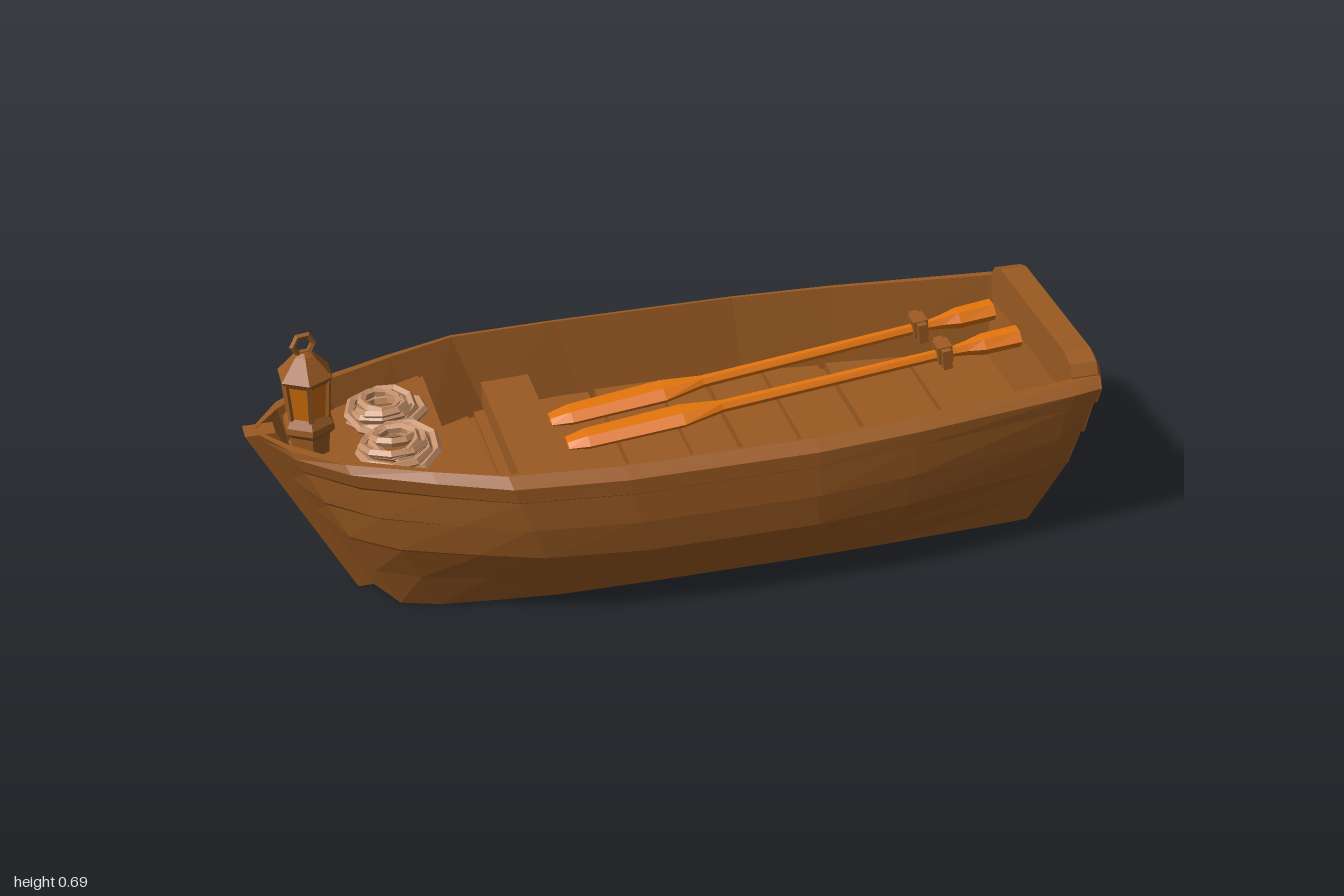
import * as THREE from 'three';

const mat = (name, color) => {
  const m = new THREE.MeshStandardMaterial({ color });
  m.name = name;
  return m;
};

// Faceted normals for the low-poly look
const flat = (g) => {
  const f = g.index ? g.toNonIndexed() : g;
  f.computeVertexNormals();
  return f;
};

// Skin between closed rings of [x, y, z] points, with optional flat ends
function loft(rings, caps = true) {
  const n = rings[0].length, idx = [];
  for (let i = 0; i < rings.length - 1; i++) {
    for (let j = 0; j < n; j++) {
      const k = (j + 1) % n;
      const a = i * n + j, b = a + n, c = (i + 1) * n + k, d = i * n + k;
      idx.push(a, b, c, a, c, d);
    }
  }
  if (caps) {
    const e = (rings.length - 1) * n;
    for (let j = 1; j < n - 1; j++) idx.push(0, j, j + 1, e, e + j + 1, e + j);
  }
  const g = new THREE.BufferGeometry();
  g.setAttribute('position', new THREE.Float32BufferAttribute(rings.flat(2), 3));
  g.setIndex(idx);
  return flat(g);
}

// Gunwale plan: x and half width from bow to stern
const PLAN = [[-0.97, 0.02], [-0.91, 0.12], [-0.8, 0.215], [-0.62, 0.295], [-0.46, 0.358], [-0.2, 0.376],
  [0.25, 0.376], [0.5, 0.355], [0.9, 0.3], [0.97, 0.285]];
// Section: height, half width amidships, half width at the stern
const OUTER = [[0, 0.185, 0.165], [0.09, 0.25, 0.195], [0.178, 0.312, 0.222], [0.188, 0.325, 0.23], [0.28, 0.338, 0.25],
  [0.292, 0.362, 0.266], [0.372, 0.362, 0.275], [0.382, 0.376, 0.29], [0.42, 0.376, 0.295], [0.44, 0.345, 0.27]];
const INNER = [[0.44, 0.337, 0.25], [0.23, 0.3, 0.225]];

const stemX = (y) => -0.73 - 0.53 * y;
const sternX = (y) => (y < 0.18 ? 0.87 + 0.36 * y : 0.935 + 0.17 * (y - 0.18));

function hullPoint([y0, wMid, wStern], [px, pw], inner) {
  const u = (px + 0.97) / 1.94;
  // Planks sweep up towards the bow, and a little towards the stern
  const bowRise = Math.min(1, y0 / 0.18) * (0.058 - 0.095 * y0) * Math.max(0, 1 - u / 0.38);
  const y = y0 + bowRise + (y0 / 0.44) * 0.012 * Math.max(0, (u - 0.6) / 0.4);
  const x = THREE.MathUtils.lerp(stemX(y), sternX(y), u);
  let w;
  if (u > 0.5) w = THREE.MathUtils.lerp(wMid, wStern, (0.376 - pw) / 0.091);
  else if (inner) w = Math.max(0.005, pw - (0.376 - wMid));
  else if (u === 0) w = 0.02;
  else w = wMid * Math.pow(pw / 0.376, 0.4 + 0.6 * Math.min(1, y0 / 0.38));
  return [x, y, w];
}

export function createModel() {
  const root = new THREE.Group();
  root.name = 'rowingBoat';
  const wood = mat('brownWood', 0x9a5a22);
  const orange = mat('orangeWood', 0xe0730a);
  const ropeMat = mat('rope', 0xc4906a);
  const glassMat = mat('amberGlass', 0xc96a0a);

  const add = (name, geo, material, parent = root) => {
    const m = new THREE.Mesh(geo, material);
    m.name = name;
    parent.add(m);
    return m;
  };
  const box = (name, w, h, d, x, y, z, parent = root) => {
    const m = add(name, flat(new THREE.BoxGeometry(w, h, d)), wood, parent);
    m.position.set(x, y, z);
    return m;
  };
  // Flat board from a plan outline of [x, z] points
  const board = (name, pts, top, thick) => {
    const s = new THREE.Shape(pts.map(([x, z]) => new THREE.Vector2(x, -z)));
    const g = new THREE.ExtrudeGeometry(s, { depth: thick, bevelEnabled: false });
    g.rotateX(-Math.PI / 2).translate(0, top - thick, 0);
    return add(name, flat(g), wood);
  };

  // Hull: stepped planks, gunwale, inner walls and inner bottom in one skin
  add('hull', loft(PLAN.map((p) => {
    const half = [...OUTER.map((l) => hullPoint(l, p, false)), ...INNER.map((l) => hullPoint(l, p, true))];
    return [...half.map(([x, y, w]) => [x, y, w]), ...half.reverse().map(([x, y, w]) => [x, y, -w])];
  }), false), wood);

  // Transom board
  add('transom', loft(OUTER.map((l) => {
    const [x, y, w] = hullPoint(l, PLAN[PLAN.length - 1], false);
    const o = x + 0.004, i = x - 0.05;
    return [[o, y, -w], [o, y, w], [i, y, w], [i, y, -w]];
  })), wood);

  // Transom cap with chamfered corners and a chamfered aft edge
  add('transomCap', loft([[0.915, 0.39, 0.495, 0], [0.982, 0.39, 0.495, 0], [1, 0.405, 0.47, 0.02]].map(([x, lo, hi, cut]) => {
    const half = [[lo, 0.27 - cut], [hi - 0.04, 0.267 - cut], [hi - 0.015, 0.25 - cut], [hi, 0.21 - cut]];
    return [...half.map(([y, z]) => [x, y, z]), ...half.reverse().map(([y, z]) => [x, y, -z])];
  })), wood);

  // Raked stem post
  const stem = new THREE.ExtrudeGeometry(new THREE.Shape([[-0.765, 0], [-0.69, 0], [-0.93, 0.455], [-1, 0.455]]
    .map(([a, b]) => new THREE.Vector2(a, b))), { depth: 0.05, bevelEnabled: false });
  add('stemPost', flat(stem.translate(0, 0, -0.025)), wood);

  // Cross-laid floor boards with uneven gaps
  const edges = [-0.54, -0.42, -0.26, -0.11, 0.05, 0.17, 0.32, 0.48, 0.69, 0.91];
  const floorHalf = (x) => (x < -0.3 ? 0.3 + (x + 0.3) * 0.25 : x < 0.25 ? 0.3 : 0.3 - (x - 0.25) * 0.11);
  for (let i = 0; i < edges.length - 1; i++) {
    const a = edges[i] + 0.005, b = edges[i + 1] - 0.004, skew = i % 2 ? 0.018 : -0.008;
    board('floorBoard', [[a, floorHalf(a)], [b + Math.min(0, -skew), floorHalf(b)],
      [b + Math.min(0, skew), -floorHalf(b)], [a, -floorHalf(a)]], 0.25 + (i % 2) * 0.005, 0.025);
  }

  // Bench and bow deck
  box('bench', 0.12, 0.06, 0.62, -0.33, 0.29, 0);
  const deckSide = [[-0.55, 0.275], [-0.76, 0.18], [-0.86, 0.1], [-0.91, 0.02]];
  board('bowDeck', [...deckSide, ...deckSide.slice().reverse().map(([x, z]) => [x, -z])], 0.385, 0.03);
  box('deckBeam', 0.025, 0.05, 0.54, -0.55, 0.355, 0);

  // Oars: x, half width, half thickness along the length
  const oarProfile = [[-0.56, 0.027, 0.01], [-0.51, 0.038, 0.018], [-0.28, 0.042, 0.02], [-0.18, 0.015, 0.013],
    [0.4, 0.012, 0.012], [0.43, 0.016, 0.016], [0.47, 0.028, 0.022], [0.56, 0.031, 0.022]];
  const oarGeo = loft(oarProfile.map(([x, w, t]) => [[1, 0], [0.5, 1], [-0.5, 1], [-1, 0], [-0.5, -1], [0.5, -1]]
    .map(([a, b]) => [x, b * t, a * w])));
  [[0.285, -0.068, 0.004], [0.3, 0.058, -0.018]].forEach(([x, z, yaw]) => {
    const oar = new THREE.Group();
    oar.name = 'oar';
    add('oarShaftAndBlade', oarGeo, orange, oar);
    box('oarCollar', 0.036, 0.044, 0.045, 0.37, 0.008, 0, oar);
    box('oarCollarPin', 0.022, 0.05, 0.075, 0.37, 0.002, 0, oar);
    oar.position.set(x, 0.4, z);
    oar.rotation.set(0, yaw, 0.122);
    root.add(oar);
  });

  // Two loose, tangled rope coils
  for (const side of [1, -1]) {
    const coil = new THREE.Group();
    coil.name = 'ropeCoil';
    [0.088, 0.08, 0.072, 0.062, 0.054, 0.045].forEach((r, i) => {
      const g = flat(new THREE.TorusGeometry(r, 0.0115, 5, 9));
      g.rotateX(Math.PI / 2);
      const loop = add('ropeLoop', g, ropeMat, coil);
      loop.position.set(Math.cos(i * 2.1) * 0.009, i * 0.006, Math.sin(i * 2.1) * 0.009);
      loop.rotation.set(Math.sin(i * 2.4) * 0.18, i * 0.7 + side, Math.cos(i * 2.4) * 0.18);
    });
    coil.position.set(-0.665, 0.402, side * 0.08);
    root.add(coil);
  }

  // Lantern
  const lantern = new THREE.Group();
  lantern.name = 'lantern';
  const lathe = (name, pts, material) => add(name,
    flat(new THREE.LatheGeometry(pts.map(([r, y]) => new THREE.Vector2(r, y)), 6)), material, lantern);
  lathe('lanternBase', [[0, 0.38], [0.046, 0.38], [0.05, 0.435], [0.064, 0.45], [0.062, 0.465], [0.046, 0.488], [0, 0.488]], wood);
  lathe('lanternGlass', [[0, 0.485], [0.048, 0.485], [0.056, 0.58], [0, 0.58]], glassMat);
  lathe('lanternRoof', [[0, 0.572], [0.058, 0.572], [0.067, 0.587], [0.024, 0.636], [0.012, 0.643], [0, 0.643]], wood);
  for (let i = 0; i < 6; i++) {
    const a = (i * Math.PI) / 3;
    const post = box('lanternPost', 0.011, 0.1, 0.011, Math.sin(a) * 0.051, 0.532, Math.cos(a) * 0.051, lantern);
    post.rotation.set(0.08, a, 0, 'YXZ');
  }
  const ring = add('lanternRing', flat(new THREE.TorusGeometry(0.025, 0.008, 5, 6)), wood, lantern);
  ring.position.y = 0.662;
  ring.rotation.y = 0.2;
  lantern.position.x = -0.85;
  root.add(lantern);

  return root;
}
